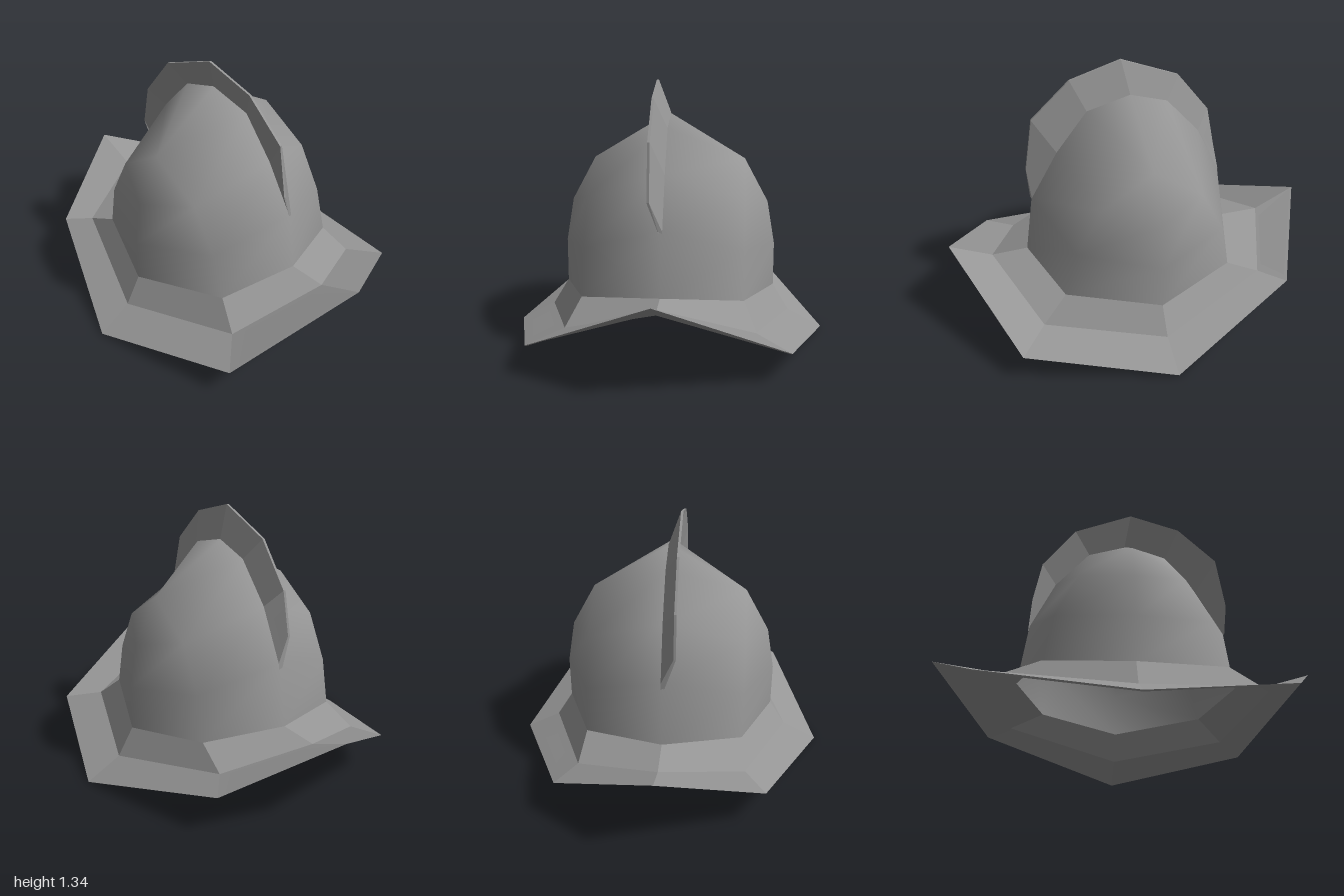
import * as THREE from 'three';
import { mergeVertices } from 'three/addons/utils/BufferGeometryUtils.js';

const material = new THREE.MeshStandardMaterial({ color: 0x969696, side: THREE.DoubleSide });

// Half ring (front, front corner, side, back corner, back) mirrored to 8 points
function fullRing(half) {
  const mirrored = [half[3], half[2], half[1]].map(([x, y, z]) => [-x, y, z]);
  return [...half, ...mirrored];
}

// Skin successive rows of points; closed rows wrap round.
// Faceted skins get one normal per four-sided panel, others are smooth.
function loft(name, rows, closed, faceted) {
  const n = rows[0].length;
  const positions = [], normals = [];
  for (let r = 0; r < rows.length - 1; r++) {
    for (let i = 0; i < (closed ? n : n - 1); i++) {
      const j = (i + 1) % n;
      const [a, b, c, d] = [rows[r][i], rows[r][j], rows[r + 1][i], rows[r + 1][j]]
        .map((p) => new THREE.Vector3(...p));
      const normal = d.clone().sub(a).cross(c.clone().sub(b)).normalize();
      for (const p of [a, b, d, a, d, c]) {
        positions.push(p.x, p.y, p.z);
        normals.push(normal.x, normal.y, normal.z);
      }
    }
  }
  let geometry = new THREE.BufferGeometry();
  geometry.setAttribute('position', new THREE.Float32BufferAttribute(positions, 3));
  if (faceted) {
    geometry.setAttribute('normal', new THREE.Float32BufferAttribute(normals, 3));
  } else {
    geometry = mergeVertices(geometry);
    geometry.computeVertexNormals();
  }
  const mesh = new THREE.Mesh(geometry, material);
  mesh.name = name;
  return mesh;
}

export function createModel() {
  const helmet = new THREE.Group();
  helmet.name = 'helmet';

  // Where the bowl meets the brim
  const base = [[0, 0.335, 0.585], [0.4, 0.295, 0.465], [0.565, 0.24, 0], [0.4, 0.295, -0.425], [0, 0.325, -0.56]];

  // Bowl: the front and back corners run up to one shoulder point on each side
  const shoulder = [0.4, 0.93, 0];
  const bowlRows = [
    base,
    [[0, 0.65, 0.54], [0.4, 0.53, 0.4], [0.565, 0.47, 0], [0.4, 0.53, -0.38], [0, 0.65, -0.51]],
    [[0, 0.9, 0.395], [0.4, 0.76, 0.27], [0.525, 0.7, 0], [0.4, 0.76, -0.26], [0, 0.91, -0.38]],
    [[0, 1.11, 0.23], shoulder, shoulder, shoulder, [0, 1.11, -0.2]],
    Array.from({ length: 5 }, () => [0, 1.17, 0]),
  ].map(fullRing);
  helmet.add(loft('bowl', bowlRows, true, false));

  // Brim: steep inner band, then a flare swept up to points front and back
  const middle = [[0, 0.33, 0.775], [0.46, 0.18, 0.595], [0.65, 0.1, 0], [0.42, 0.215, -0.6], [0, 0.325, -0.775]];
  const edge = [[0, 0.43, 0.995], [0.62, 0.14, 0.735], [0.83, 0.005, 0], [0.52, 0.19, -0.73], [0, 0.43, -1]];
  const lip = edge.map(([x, y, z]) => [x * 0.99, y - 0.005, z * 0.99]);
  const under = middle.map(([x, y, z]) => [x, y - 0.01, z]);
  helmet.add(loft('brim', [lip, edge, middle, base].map(fullRing), true, true));
  helmet.add(loft('brimUnderside', [under, lip].map(fullRing), true, true));

  // Crest: a thin leaning fin along the ridge of the bowl, as [z, y] pairs
  const inner = [[0.54, 0.64], [0.54, 0.65], [0.395, 0.9], [0.23, 1.11], [0, 1.17], [-0.2, 1.11], [-0.38, 0.91], [-0.51, 0.65], [-0.515, 0.62]];
  const outer = [[0.545, 0.65], [0.55, 0.79], [0.505, 1.07], [0.3, 1.26], [0.03, 1.34], [-0.28, 1.22], [-0.455, 1.0], [-0.5, 0.78], [-0.515, 0.63]];
  const place = (points, x, taper) => points.map(([z, y], i) => {
    const end = i === 0 || i === points.length - 1;
    return [taper && end ? x * 0.2 : x, y, z];
  });
  helmet.add(loft('crest', [
    place(inner, 0.008), place(outer, -0.053, true), place(outer, -0.065, true), place(inner, -0.006),
  ], false, true));

  return helmet;
}
